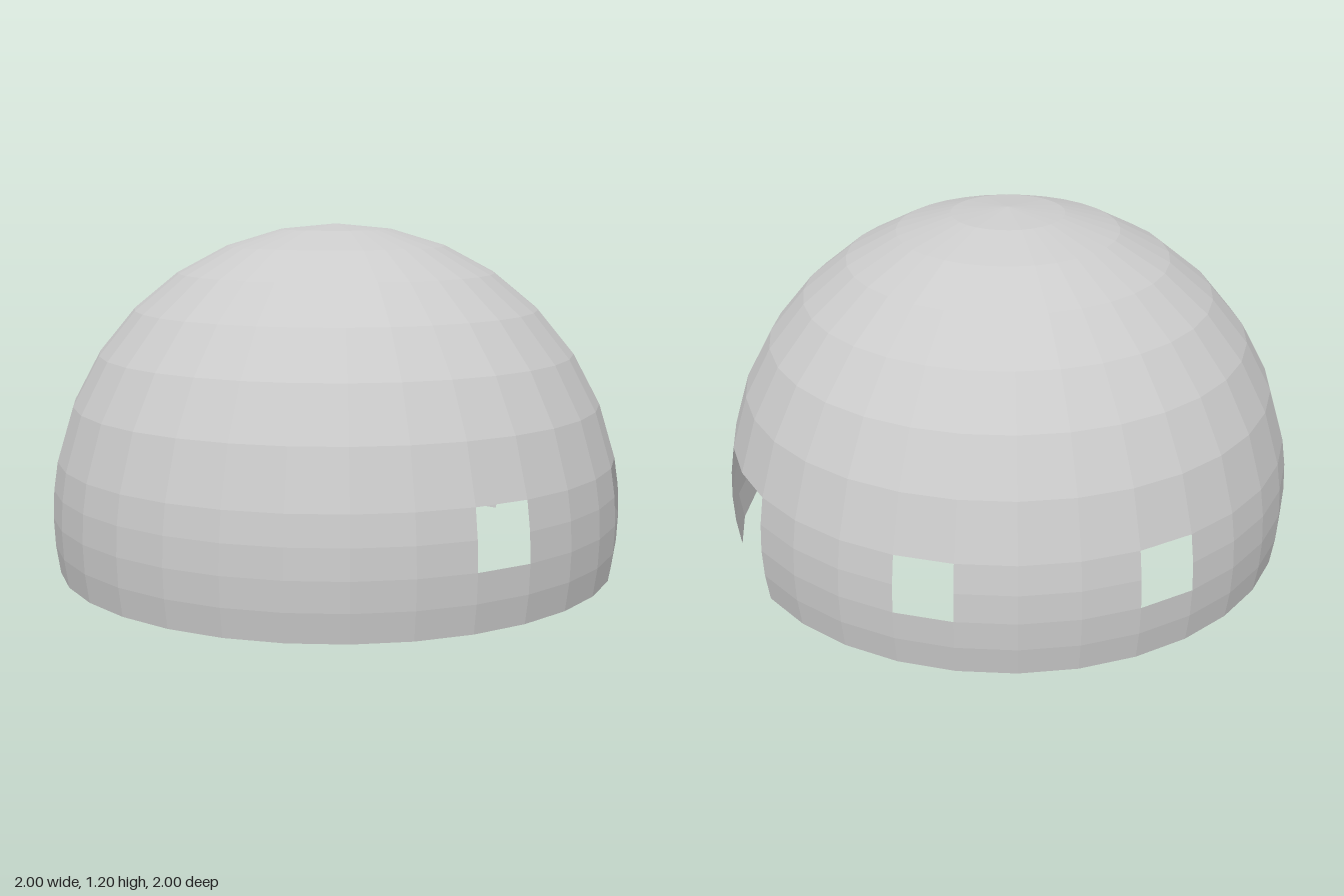
import * as THREE from 'three';

const SEGMENTS = 32;
const STEP = (2 * Math.PI) / SEGMENTS; // same step around and from the pole down

const material = new THREE.MeshStandardMaterial({
  color: 0xcccccc,
  flatShading: true,
  side: THREE.DoubleSide,
});

// A piece of the thin shell; segments count from +z towards +x, rings from the pole down
function shellPatch(name, segment, segments, ring, rings) {
  const geometry = new THREE.SphereGeometry(
    1, segments, rings,
    Math.PI / 2 + segment * STEP, segments * STEP,
    ring * STEP, rings * STEP
  );
  const mesh = new THREE.Mesh(geometry, material);
  mesh.name = name;
  return mesh;
}

export function createModel() {
  const dome = new THREE.Group();
  dome.name = 'dome';

  // Closed roof above the openings
  dome.add(shellPatch('roof', 0, SEGMENTS, 0, 7));

  // Wall between the openings: [first segment, number of segments]
  // Gaps: windows at segments 1, 5, 14 and 18, doorway at 9 and 10
  const wallPieces = [[2, 3], [6, 3], [11, 3], [15, 3], [19, 14]];
  for (const [first, count] of wallPieces) {
    dome.add(shellPatch('windowWall', first, count, 7, 1));
  }

  // Lowest wall ring, open only at the doorway
  dome.add(shellPatch('baseWall', 11, 30, 8, 1));

  // The cut lies one ring below the equator
  dome.position.y = Math.sin(STEP);

  const model = new THREE.Group();
  model.name = 'domeHut';
  model.add(dome);
  return model;
}
